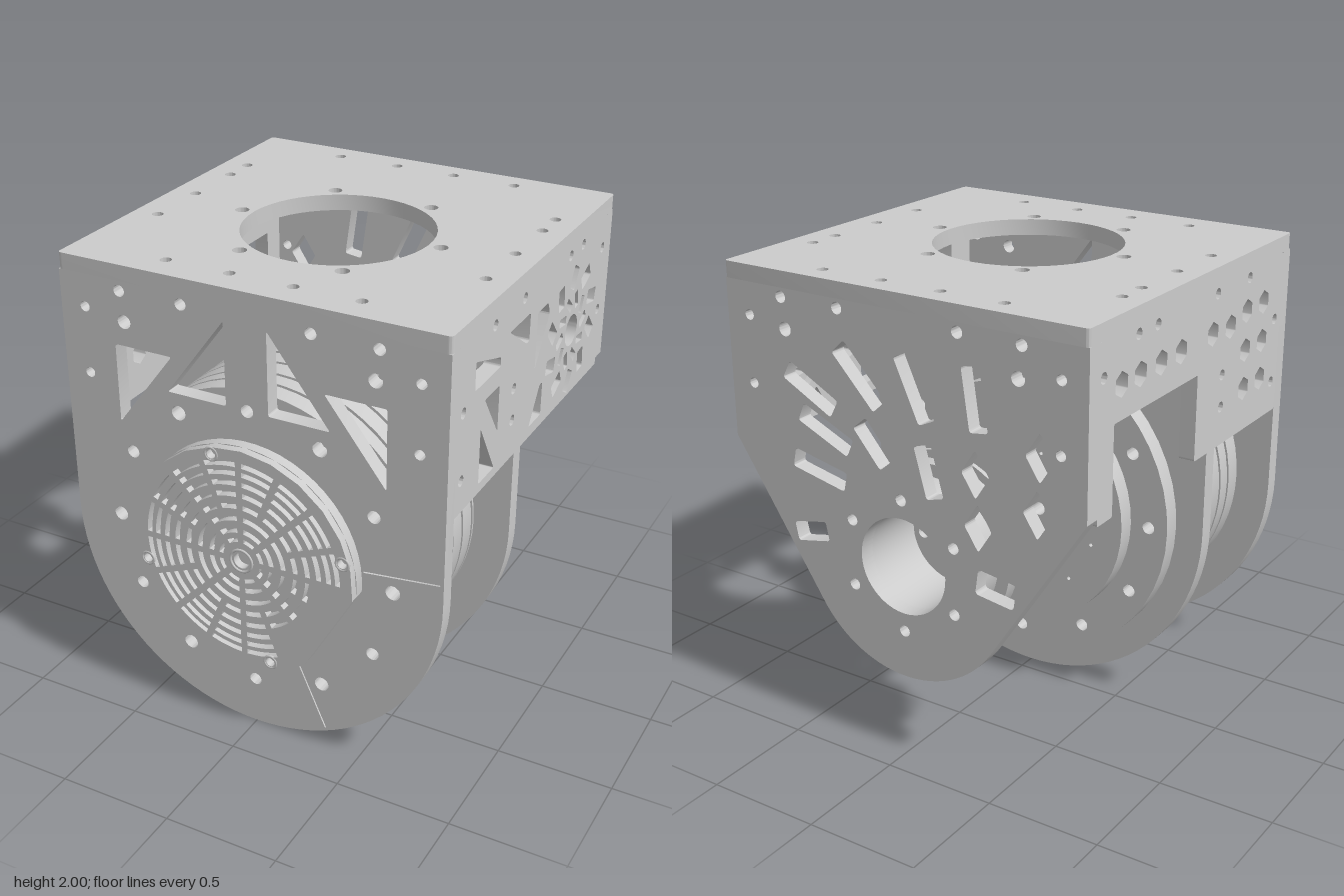
import * as THREE from 'three';
import { toCreasedNormals } from 'three/addons/utils/BufferGeometryUtils.js';

const CY = 0.86;   // height of the drum axis
const T = 0.07;    // sheet thickness
const rad = THREE.MathUtils.degToRad;
const mat = new THREE.MeshStandardMaterial({ color: 0xcccccc });

const circle = (x, y, r) => new THREE.Path().absarc(x, y, r, 0, Math.PI * 2);
const disc = (r) => new THREE.Shape().absarc(0, CY, r, 0, Math.PI * 2);
const V = (x, y) => new THREE.Vector2(x, y);

// Polygon with slightly rounded corners
function poly(pts, r = 0.012, P = THREE.Path) {
  const p = new P(), n = pts.length;
  pts.forEach(([x, y], i) => {
    const c = V(x, y), a = V(...pts[(i + n - 1) % n]), b = V(...pts[(i + 1) % n]);
    const s = a.sub(c).setLength(r).add(c), e = b.sub(c).setLength(r).add(c);
    if (i) p.lineTo(s.x, s.y); else p.moveTo(s.x, s.y);
    p.quadraticCurveTo(x, y, e.x, e.y);
  });
  p.closePath();
  return p;
}

// Slanted slot: centre, length, width, angle in degrees
function slot(x, y, len, w, deg) {
  const c = Math.cos(rad(deg)), s = Math.sin(rad(deg));
  return poly([[-1, -1], [1, -1], [1, 1], [-1, 1]].map(([i, j]) =>
    [x + i * len / 2 * c - j * w / 2 * s, y + i * len / 2 * s + j * w / 2 * c]), w / 6);
}

// Curved slot around the drum axis
function arcSlot(r, w, a0, a1) {
  return new THREE.Path().absarc(0, CY, r + w / 2, rad(a0), rad(a1), false)
    .absarc(0, CY, r - w / 2, rad(a1), rad(a0), true).closePath();
}

// Evenly spaced round holes about the drum axis
const boltRing = (n, R, r, off = 0) => Array.from({ length: n }, (_, i) => {
  const a = rad(off) + i * 2 * Math.PI / n;
  return circle(R * Math.cos(a), CY + R * Math.sin(a), r);
});

function sheet(name, shape, holes, depth, curveSegments = 24) {
  shape.holes.push(...holes);
  const geo = new THREE.ExtrudeGeometry(shape, { depth, bevelEnabled: false, curveSegments });
  const m = new THREE.Mesh(toCreasedNormals(geo, 0.4), mat);
  m.name = name;
  return m;
}

// Turned part along z, profile given as [radius, z]
function turned(name, profile) {
  const geo = new THREE.LatheGeometry(profile.map((p) => V(...p)), 64);
  const m = new THREE.Mesh(toCreasedNormals(geo, 0.4), mat);
  m.rotation.x = Math.PI / 2;
  m.position.y = CY;
  m.name = name;
  return m;
}

const mirrored = (list) => list.flatMap(([x, y, r]) => [circle(x, y, r), circle(-x, y, r)]);

export function createModel() {
  const g = new THREE.Group();
  g.name = 'winchFrame';
  const add = (m, x = 0, y = 0, z = 0) => { m.position.add(new THREE.Vector3(x, y, z)); g.add(m); return m; };
  const W = 0.855, topY = 2 - T;

  // Front plate: straight sides on a half round
  const front = new THREE.Shape().moveTo(-W, topY).lineTo(-W, W)
    .absarc(0, W, W, Math.PI, 2 * Math.PI, false).lineTo(W, topY).closePath();
  const cornerHoles = mirrored([[0.57, 1.89, 0.025], [0.285, 1.89, 0.025], [0.555, 1.76, 0.03],
    [0.74, 1.79, 0.022], [0.74, 1.5, 0.022]]);
  const frontTris = [1, -1].flatMap((s) => [
    poly([[s * 0.095, 1.86], [s * 0.095, 1.5], [s * 0.365, 1.5]]),
    poly([[s * 0.605, 1.31], [s * 0.605, 1.655], [s * 0.34, 1.655]])]);
  const seams = [6.5, -66.5].map((a) => {
    const c = Math.cos(rad(a)), s = Math.sin(rad(a));
    return slot(0.68 * c, CY + 0.68 * s, 0.33, 0.006, a);
  });
  add(sheet('frontPlate', front, [...cornerHoles, ...frontTris, ...seams,
    ...boltRing(6, 0.64, 0.032), ...boltRing(6, 0.64, 0.028, 30)], T), 0, 0, 0.73);

  // Vent cover: rim with one flat, slotted face over a backing disc
  const flat = (r) => new THREE.Shape().absarc(0, CY, r, rad(-4), rad(-56), false).closePath();
  const slots = [];
  [0.14, 0.195, 0.25, 0.305, 0.355, 0.4, 0.44].forEach((r, i) => {
    const n = i < 2 ? 8 : 16, gap = 0.014 / r * 180 / Math.PI;
    for (let k = 0; k < n; k++) {
      const a0 = k * 360 / n, a1 = a0 + 360 / n;
      if (i > 3 && a0 >= 292) continue;
      slots.push(arcSlot(r, 0.022, a0 + gap, a1 - gap));
    }
  });
  for (let k = 0; k < 8; k++) slots.push(arcSlot(0.095, 0.018, k * 45 + 8, k * 45 + 37));
  add(sheet('ventCoverBody', flat(0.505), [], 0.045), 0, 0, 0.80);
  add(sheet('ventCoverGrille', flat(0.505), [...slots, circle(0, CY, 0.035),
    ...boltRing(4, 0.475, 0.02, 15)], 0.035, 10), 0, 0, 0.845);
  const hub = new THREE.Mesh(new THREE.TorusGeometry(0.05, 0.006, 8, 32), mat);
  hub.name = 'ventHubRing';
  add(hub, 0, CY, 0.88);
  for (let i = 0; i < 4; i++) {
    const a = rad(15 + 90 * i);
    const boss = new THREE.Mesh(new THREE.TorusGeometry(0.028, 0.006, 8, 20), mat);
    boss.name = 'coverScrewBoss';
    add(boss, 0.475 * Math.cos(a), CY + 0.475 * Math.sin(a), 0.877);
  }

  // Grooved drum
  const drum = [[0, 0.15], [0.695, 0.15]];
  for (const z of [0.17, 0.265, 0.36, 0.46, 0.56, 0.64]) {
    drum.push([0.695, z - 0.008], [0.68, z - 0.008], [0.68, z + 0.008], [0.695, z + 0.008]);
  }
  drum.push([0.695, 0.73], [0, 0.73]);
  add(turned('drum', drum));

  // Middle plate with side tabs
  const w = W - T;
  const mid = new THREE.Shape().moveTo(-W, 1.22).lineTo(-W, W)
    .absarc(0, W, W, Math.PI, 2 * Math.PI, false);
  [[W, 1.22], [w, 1.22], [w, 1.29], [W, 1.29], [W, 1.575], [w, 1.575], [w, 1.65],
    [-w, 1.65], [-w, 1.575], [-W, 1.575], [-W, 1.29], [-w, 1.29], [-w, 1.22]].forEach((p) => mid.lineTo(...p));
  mid.closePath();
  add(sheet('middlePlate', mid, boltRing(12, 0.64, 0.028), T), 0, 0, 0.08);

  // Flange ring and motor end behind it
  add(sheet('drumFlange', disc(0.73), boltRing(12, 0.64, 0.028), 0.08), 0, 0, 0);
  add(sheet('motorEnd', disc(0.555), [circle(0, CY, 0.035), ...boltRing(6, 0.14, 0.03),
    ...boltRing(12, 0.3, 0.008), ...boltRing(12, 0.42, 0.008, 15)], 0.08), 0, 0, -0.08);

  // Back plate tapering to a round nose, with swirled slots
  const ta = rad(-33.2);
  const back = new THREE.Shape().moveTo(W, topY).lineTo(W, 1.25)
    .absarc(0, 0.865, 0.505, ta, Math.PI - ta, true).lineTo(-W, 1.25).lineTo(-W, topY).closePath();
  const swirl = [[0.44, 1.53, 0.27, 28], [0.19, 1.63, 0.29, 47], [-0.08, 1.63, 0.28, 66],
    [-0.36, 1.64, 0.26, 82], [0.37, 1.37, 0.27, 24], [0.41, 1.19, 0.27, 12], [0.47, 0.9, 0.17, -12],
    [-0.14, 1.3, 0.22, 75], [0.13, 1.36, 0.2, 50]].map(([x, y, l, a]) => slot(x, y, l, 0.085, a));
  const diamonds = [[-0.36, 1.34], [-0.65, 1.47], [-0.37, 1.12], [-0.64, 1.24]].map(([x, y]) =>
    poly([[x - 0.065, y], [x, y - 0.1], [x + 0.065, y], [x, y + 0.1]]));
  add(sheet('backPlate', back, [...cornerHoles, ...swirl, ...diamonds, slot(-0.45, 0.88, 0.18, 0.11, 8),
    circle(0, CY, 0.21), ...boltRing(6, 0.29, 0.025, 30)], T), 0, 0, -0.87);

  // Hollow bearing on the back plate
  add(turned('bearingHousing', [[0.21, -0.8], [0.315, -0.8], [0.315, -0.655], [0.37, -0.655], [0.37, -0.59],
    [0.405, -0.59], [0.405, -0.57], [0.315, -0.57], [0.315, -0.52], [0.21, -0.52], [0.21, -0.87]]));

  // Top plate with the large opening (drawn in x and -z)
  const topHoles = [circle(0, -0.05, 0.405)];
  for (let i = 0; i < 6; i++) topHoles.push(circle(0.46 * Math.cos(i * Math.PI / 3), -0.05 + 0.46 * Math.sin(i * Math.PI / 3), 0.03));
  topHoles.push(...mirrored([[0.43, 0.77, 0.024], [0.14, 0.77, 0.024], [0.43, -0.67, 0.024], [0.14, -0.67, 0.024],
    ...[0.46, 0.315, 0.03, -0.26].map((v) => [0.745, v, 0.024])]));
  const top = sheet('topPlate', poly([[-W, -0.8], [W, -0.8], [W, 0.875], [-W, 0.875]], 0.02, THREE.Shape), topHoles, T);
  top.rotation.x = -Math.PI / 2;
  add(top, 0, topY, 0);

  // Side plates are drawn in -z and y
  const zy = (pts) => pts.map(([z, y]) => [-z, y]);
  const tabSlot = poly(zy([[0.15, 1.29], [0.08, 1.29], [0.08, 1.575], [0.15, 1.575]]), 0.002);
  const dots = (list, r) => list.map(([z, y]) => circle(-z, y, r));
  const edgeDots = dots([[0.41, 1.89], [0.12, 1.89], [-0.375, 1.89], [-0.52, 1.89], [0.68, 1.645], [0.68, 1.36],
    [-0.77, 1.79], [-0.77, 1.5], [0.19, 1.53], [0.19, 1.39]], 0.023);

  // Left side: triangular windows and a pinwheel
  const windows = [
    [[0.58, 1.81], [0.58, 1.69], [0.34, 1.69], [0.34, 1.73]],
    [[0.26, 1.8], [0.05, 1.8], [0.05, 1.68], [0.08, 1.68]],
    [[-0.03, 1.52], [-0.03, 1.77], [-0.14, 1.77], [-0.165, 1.72]],
    [[0.48, 1.61], [0.34, 1.61], [0.34, 1.41]],
    [[0.51, 1.26], [0.51, 1.5], [0.36, 1.26]],
    [[0, 1.27], [-0.13, 1.27], [-0.13, 1.42], [-0.1, 1.42]]].map((p) => poly(zy(p)));
  const pinwheel = [circle(0.44, 1.53, 0.07)];
  for (let i = 0; i < 10; i++) {
    const a = i * 36, c = Math.cos(rad(a)), s = Math.sin(rad(a));
    const c2 = Math.cos(rad(a + 18)), s2 = Math.sin(rad(a + 18));
    pinwheel.push(slot(0.44 + 0.135 * c, 1.53 + 0.135 * s, 0.075, 0.038, a + 30));
    pinwheel.push(slot(0.44 + 0.24 * c2, 1.53 + 0.24 * s2, 0.1, 0.065, a - 12));
  }
  const sideBox = zy([[0.73, 1.22], [-0.8, 1.22], [-0.8, topY], [0.73, topY]]);
  const left = sheet('leftSidePlate', poly(sideBox, 0.004, THREE.Shape), [tabSlot, ...edgeDots, ...windows, ...pinwheel], T);
  left.rotation.y = Math.PI / 2;
  add(left, W - T, 0, 0);

  // Right side: lower opening and hexagonal holes
  const rightShape = poly(zy([[0.73, 1.22], [-0.03, 1.22], [-0.03, 1.59], [-0.69, 1.59], [-0.69, 1.22],
    [-0.8, 1.22], [-0.8, topY], [0.73, topY]]), 0.01, THREE.Shape);
  const hexes = [[-0.64, 1.73], [-0.5, 1.73], [-0.34, 1.73], [-0.18, 1.73], [0.09, 1.73], [0.25, 1.72],
    [0.4, 1.75], [0.56, 1.75], [0.4, 1.58], [0.56, 1.58], [0.4, 1.41], [0.56, 1.41]].map(([z, y]) =>
    poly(Array.from({ length: 6 }, (_, i) => [-z + 0.052 * Math.sin(i * Math.PI / 3), y + 0.052 * Math.cos(i * Math.PI / 3)]), 0.004));
  const right = sheet('rightSidePlate', rightShape, [tabSlot, ...edgeDots.filter((_, i) => i !== 7), ...hexes], T);
  right.rotation.y = Math.PI / 2;
  add(right, -W, 0, 0);
  return g;
}
